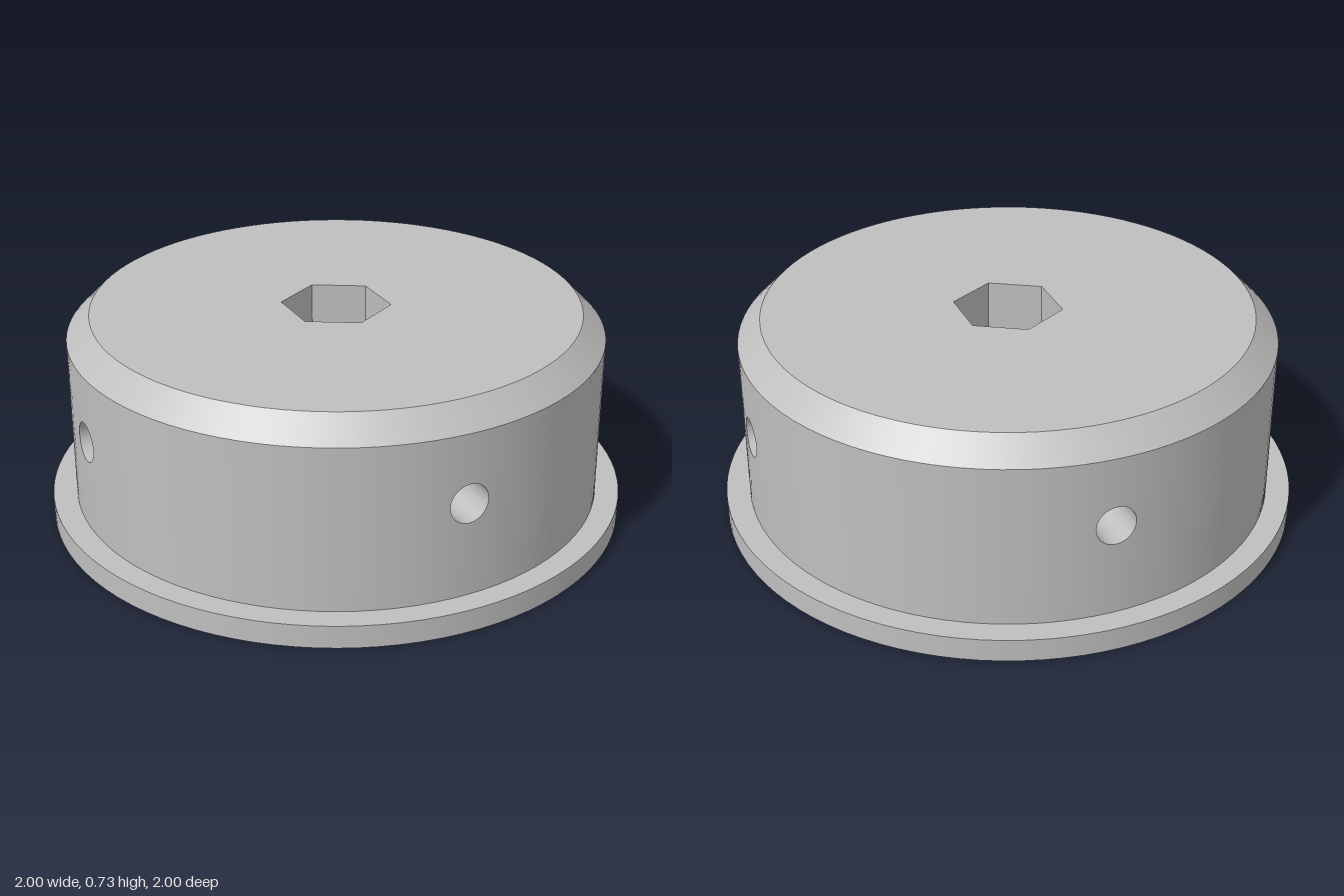
import * as THREE from 'three';

const H = 0.73, RIM_H = 0.08, SHOULDER = 0.65;       // heights
const RIM_R = 1, BODY_R = 0.918, TOP_R = 0.838;      // radii
const HEX_R = 0.188, HOLE_R = 0.068, HOLE_Y = 0.408; // hex bore, radial holes
const SEG = 96;

// Surface from a grid of [position, normal] pairs given by fn(i, j)
function gridSurface(ni, nj, fn) {
  const pos = [], nor = [], idx = [];
  for (let i = 0; i <= ni; i++) {
    for (let j = 0; j <= nj; j++) {
      const [p, n] = fn(i, j);
      pos.push(...p);
      nor.push(...n);
      if (i < ni && j < nj) {
        const a = i * (nj + 1) + j, c = a + nj + 1;
        idx.push(a, a + 1, c, a + 1, c + 1, c);
      }
    }
  }
  const g = new THREE.BufferGeometry();
  g.setAttribute('position', new THREE.Float32BufferAttribute(pos, 3));
  g.setAttribute('normal', new THREE.Float32BufferAttribute(nor, 3));
  g.setIndex(idx);
  return g;
}

// Border of the square [-1, 1], counter-clockwise, closed
function squareBorder() {
  const pts = [];
  for (let i = 0; i < 8; i++) pts.push([1, -1 + i / 4]);
  for (let i = 0; i < 24; i++) pts.push([1 - i / 12, 1]);
  for (let i = 0; i < 8; i++) pts.push([-1, 1 - i / 4]);
  for (let i = 0; i < 24; i++) pts.push([-1 + i / 12, -1]);
  pts.push(pts[0]);
  return pts;
}

// Disc with a hexagonal hole
function hexDisc(radius) {
  const ring = (r, n) => Array.from({ length: n }, (_, k) => {
    const a = (k / n) * Math.PI * 2;
    return new THREE.Vector2(r * Math.sin(a), r * Math.cos(a));
  });
  const shape = new THREE.Shape(ring(radius, SEG));
  shape.holes.push(new THREE.Path(ring(HEX_R, 6)));
  return new THREE.ShapeGeometry(shape);
}

// One wall of the hex bore; side 0 has a round hole, +1 / -1 a half hole at that edge
function boreWall(side) {
  const w = HEX_R / 2;
  const shape = new THREE.Shape();
  if (side === 0) {
    shape.moveTo(-w, 0).lineTo(w, 0).lineTo(w, H).lineTo(-w, H);
    shape.holes.push(new THREE.Path().absarc(0, HOLE_Y, HOLE_R, 0, Math.PI * 2, true));
  } else {
    shape.moveTo(-side * w, 0).lineTo(side * w, 0);
    for (let i = 0; i <= 24; i++) {
      const t = -Math.PI / 2 + (i / 24) * Math.PI;
      const u = HOLE_R * Math.cos(t) / Math.cos(Math.PI / 6);
      shape.lineTo(side * (w - u), HOLE_Y + HOLE_R * Math.sin(t));
    }
    shape.lineTo(side * w, H).lineTo(-side * w, H);
  }
  return new THREE.ShapeGeometry(shape, 32);
}

export function createModel() {
  const group = new THREE.Group();
  const grey = new THREE.MeshStandardMaterial({ color: 0xbfbfbf });
  grey.name = 'plain grey';

  function add(name, geometry) {
    const mesh = new THREE.Mesh(geometry, grey);
    mesh.name = name;
    group.add(mesh);
    return mesh;
  }
  const band = (name, r0, y0, r1, y1) => add(name, new THREE.LatheGeometry(
    [new THREE.Vector2(r0, y0), new THREE.Vector2(r1, y1)], SEG));

  // Flange and chamfer
  band('flangeEdge', RIM_R, 0, RIM_R, RIM_H);
  band('flangeTop', RIM_R, RIM_H, BODY_R, RIM_H);
  band('chamfer', BODY_R, SHOULDER, TOP_R, H);

  // End faces
  const top = add('topFace', hexDisc(TOP_R));
  top.rotation.x = -Math.PI / 2;
  top.position.y = H;
  add('bottomFace', hexDisc(RIM_R)).rotation.x = Math.PI / 2;

  // Body wall in four quarters, each pierced by a radial hole
  const border = squareBorder();
  const n = border.length - 1, steps = 12;
  const midY = (RIM_H + SHOULDER) / 2, halfY = (SHOULDER - RIM_H) / 2;
  const holeAngle = i => Math.atan2(border[i][1], border[i][0]);

  const quarter = gridSurface(n, steps, (i, j) => {
    const t = holeAngle(i), s = j / steps;
    const a = THREE.MathUtils.lerp(
      Math.asin(HOLE_R * Math.cos(t) / BODY_R), border[i][0] * Math.PI / 4, s);
    const y = THREE.MathUtils.lerp(
      HOLE_Y + HOLE_R * Math.sin(t), midY + border[i][1] * halfY, s);
    return [[BODY_R * Math.sin(a), y, BODY_R * Math.cos(a)], [Math.sin(a), 0, Math.cos(a)]];
  });

  // Hole lining from the bore out to the body wall
  const lining = meetsCorner => gridSurface(n, 1, (i, j) => {
    const t = holeAngle(i), x = HOLE_R * Math.cos(t);
    const inner = meetsCorner
      ? HEX_R - Math.abs(x) * Math.tan(Math.PI / 6)
      : HEX_R * Math.cos(Math.PI / 6);
    const z = j ? Math.sqrt(BODY_R ** 2 - x * x) : inner;
    return [[x, HOLE_Y + HOLE_R * Math.sin(t), z], [-Math.cos(t), -Math.sin(t), 0]];
  });
  const linings = [lining(true), lining(false)];

  for (let k = 0; k < 4; k++) {
    add('bodyWall', quarter).rotation.y = k * Math.PI / 2;
    add('radialHole', linings[k % 2]).rotation.y = k * Math.PI / 2;
  }

  // Hex bore
  [1, 0, -1, 1, 0, -1].forEach((side, k) => {
    const g = boreWall(side);
    g.translate(0, 0, -HEX_R * Math.cos(Math.PI / 6));
    add('hexBoreWall', g).rotation.y = Math.PI / 6 + k * Math.PI / 3;
  });

  return group;
}
